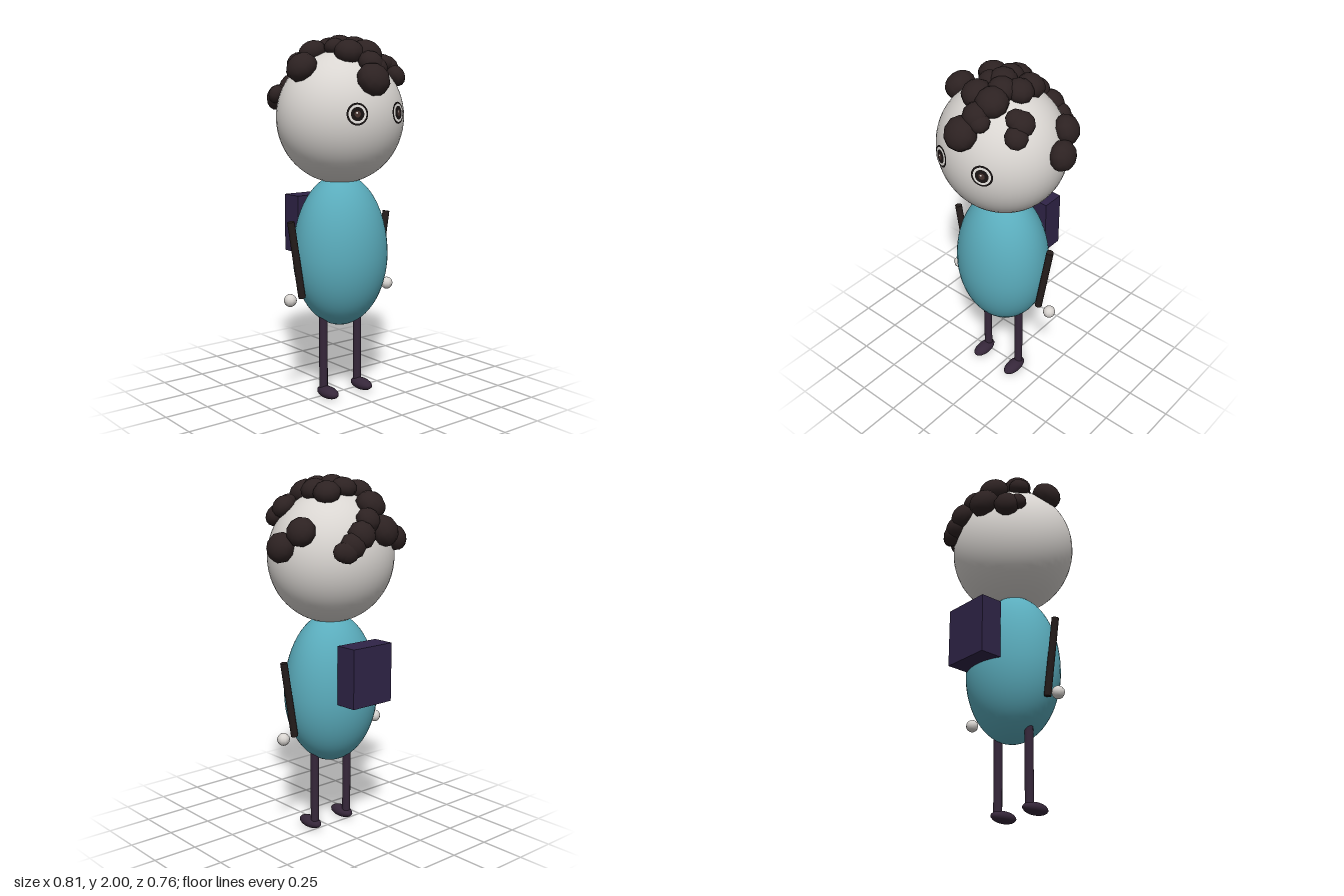
import * as THREE from 'three';

const paint = (name, color) => Object.assign(new THREE.MeshStandardMaterial({ color }), { name });

export function createModel() {
  const skin = paint('skin', 0xd9d5d1);
  const hairColor = paint('hair', 0x2d2222);
  const shirt = paint('shirt', 0x5aacbc);
  const sleeve = paint('sleeve', 0x251d1c);
  const trousers = paint('trousers', 0x36273a);
  const bag = paint('bag', 0x2f2447);
  const eyeDark = paint('eyeDark', 0x181313);
  const eyeWhite = paint('eyeWhite', 0xe6e3df);
  const iris = paint('iris', 0x43302c);

  const model = new THREE.Group();
  const figure = new THREE.Group(); // figure is symmetric about its own centre line
  figure.name = 'figure';
  figure.position.set(-0.03, 0, 0.008);
  model.add(figure);

  const add = (parent, name, geometry, material, x = 0, y = 0, z = 0) => {
    const mesh = new THREE.Mesh(geometry, material);
    mesh.name = name;
    mesh.position.set(x, y, z);
    parent.add(mesh);
    return mesh;
  };

  // Head
  const R = new THREE.Vector3(0.358, 0.36, 0.333);
  const headY = 1.56;
  add(figure, 'head', new THREE.SphereGeometry(1, 48, 32), skin, 0, headY).scale.copy(R);

  // Egg-shaped body, taller above its widest point than below
  const profile = [];
  for (let i = 0; i <= 32; i++) {
    const a = -Math.PI / 2 + (Math.PI * i) / 32;
    profile.push(new THREE.Vector2(Math.max(0, Math.cos(a)) * 0.275,
      0.8 + Math.sin(a) * (a < 0 ? 0.4 : 0.45)));
  }
  add(figure, 'body', new THREE.LatheGeometry(profile, 48), shirt).scale.z = 0.895;

  // Backpack
  add(figure, 'backpack', new THREE.BoxGeometry(0.275, 0.325, 0.128), bag, 0, 0.952, -0.276);

  // Limbs and eyes, mirrored
  for (const s of [1, -1]) {
    const side = s > 0 ? 'left' : 'right';

    const arm = add(figure, side + 'Arm', new THREE.CylinderGeometry(0.02, 0.02, 0.43, 12), sleeve,
      s * 0.3, 0.802, 0);
    arm.rotation.z = -s * Math.atan2(0.07, 0.425);
    add(figure, side + 'Hand', new THREE.SphereGeometry(0.035, 10, 8), skin, s * 0.343, 0.587, 0);

    add(figure, side + 'Leg', new THREE.CylinderGeometry(0.024, 0.024, 0.43, 12), trousers,
      s * 0.121, 0.255, 0);
    add(figure, side + 'Foot', new THREE.SphereGeometry(1, 16, 12), trousers, s * 0.121, 0.033, 0.04)
      .scale.set(0.042, 0.033, 0.083);

    // Eye: stacked thin discs tangent to the face
    const eye = new THREE.Group();
    eye.name = side + 'Eye';
    eye.position.set(s * 0.136, 1.59, 0.312);
    eye.rotation.set(-0.07, s * 0.36, 0, 'YXZ');
    figure.add(eye);
    const discs = [
      ['eyeRim', 0.058, eyeDark], ['eyeWhite', 0.048, eyeWhite],
      ['eyeRing', 0.036, eyeDark], ['iris', 0.017, iris],
    ];
    discs.forEach(([name, r, mat], i) =>
      add(eye, name, new THREE.CircleGeometry(r, 28), mat, 0, 0, 0.004 + i * 0.002));
    add(eye, 'eyeGlint', new THREE.CircleGeometry(0.005, 10), eyeWhite, -0.004, 0.006, 0.012);
  }

  // Hair curls: [x, z, radius], each resting on the scalp and flattened against it
  const curls = [
    [-0.30, 0.026, 0.087], [-0.225, -0.12, 0.06], [-0.16, -0.07, 0.077],
    [-0.113, -0.213, 0.085], [-0.265, -0.25, 0.072], [-0.305, -0.205, 0.05],
    [-0.13, -0.30, 0.087], [-0.03, -0.283, 0.068], [0.04, -0.312, 0.077],
    [0.1, -0.312, 0.07], [0.135, -0.31, 0.062], [0.16, -0.302, 0.052],
    [0.285, -0.12, 0.08], [0.34, -0.02, 0.082],
    [0.2, 0.13, 0.068], [0.21, 0.185, 0.062], [0.17, 0.14, 0.055],
    [0.08, -0.085, 0.075], [-0.045, -0.075, 0.072], [0.087, 0.01, 0.073],
    [-0.09, 0.035, 0.057], [-0.03, 0.0, 0.075], [0.02, 0.07, 0.075],
    [-0.08, 0.145, 0.08], [0.03, 0.155, 0.087], [-0.005, 0.235, 0.072],
    [0.03, 0.25, 0.056], [-0.045, 0.305, 0.092],
  ];
  const hair = new THREE.Group();
  hair.name = 'hair';
  figure.add(hair);
  const curlShape = new THREE.SphereGeometry(1, 10, 8);
  const up = new THREE.Vector3(0, 1, 0);
  for (const [wx, wz, r] of curls) {
    const x = wx + 0.03, z = wz - 0.008;
    const y = R.y * Math.sqrt(Math.max(0.03, 1.12 - (x / R.x) ** 2 - (z / R.z) ** 2));
    const curl = add(hair, 'curl', curlShape, hairColor, x, headY + y, z);
    curl.quaternion.setFromUnitVectors(up, new THREE.Vector3(x, y, z).normalize());
    curl.scale.set(r, r * 0.8, r);
  }
  return model;
}
